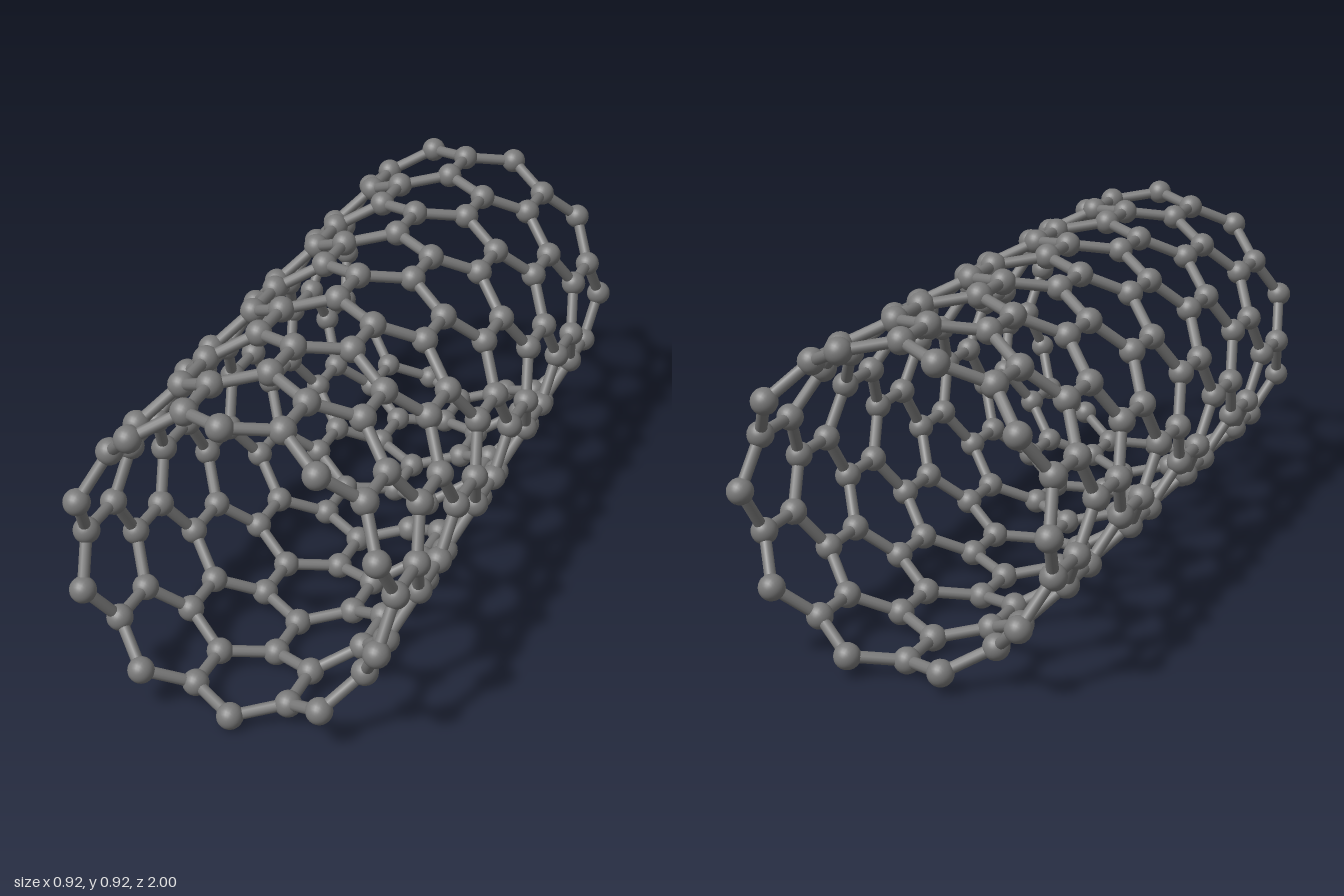
import * as THREE from 'three';

// Hexagonal lattice rolled into a tube along z
const COLUMNS = 20;
const RINGS = 9;
const BOND = 0.1542;
const RADIUS = (10 * Math.sqrt(3) * BOND) / (2 * Math.PI);
const ATOM_R = 0.036;
const BOND_R = 0.016;
const CENTRE_Y = RADIUS + ATOM_R;
const FRONT_Z = 6.25 * BOND;

// Position of the atom in a ring; even and odd columns zigzag in depth
function atomPosition(ring, column) {
  const col = (column + COLUMNS) % COLUMNS;
  const angle = (col / COLUMNS) * Math.PI * 2;
  const zig = (ring + col) % 2 === 0 ? 0 : 0.5;
  const z = FRONT_Z - (1.5 * ring + zig) * BOND;
  return new THREE.Vector3(
    RADIUS * Math.sin(angle),
    CENTRE_Y + RADIUS * Math.cos(angle),
    z
  );
}

export function createModel() {
  const model = new THREE.Group();
  model.name = 'hexagonalTube';

  const grey = new THREE.MeshStandardMaterial({ color: 0x7a7a7a });
  grey.name = 'grey';

  const atomGeometry = new THREE.SphereGeometry(ATOM_R, 20, 14);
  atomGeometry.rotateX(Math.PI / 2);
  const zigzagLength = atomPosition(0, 0).distanceTo(atomPosition(0, 1));
  const zigzagGeometry = new THREE.CylinderGeometry(BOND_R, BOND_R, zigzagLength, 12, 1, true);
  const axialGeometry = new THREE.CylinderGeometry(BOND_R, BOND_R, BOND, 12, 1, true);
  const up = new THREE.Vector3(0, 1, 0);

  function addBond(parent, name, geometry, a, b) {
    const rod = new THREE.Mesh(geometry, grey);
    rod.name = name;
    rod.position.copy(a).add(b).multiplyScalar(0.5);
    rod.quaternion.setFromUnitVectors(up, b.clone().sub(a).normalize());
    parent.add(rod);
  }

  for (let ring = 0; ring < RINGS; ring++) {
    const group = new THREE.Group();
    group.name = `ring${ring + 1}`;
    for (let col = 0; col < COLUMNS; col++) {
      const here = atomPosition(ring, col);

      // Ball at each lattice corner
      const atom = new THREE.Mesh(atomGeometry, grey);
      atom.name = 'atom';
      atom.position.copy(here);
      group.add(atom);

      // Zigzag rod to the neighbour around the ring
      addBond(group, 'zigzagBond', zigzagGeometry, here, atomPosition(ring, col + 1));

      // Straight rod to the next ring, from the rearward atoms only
      if (ring < RINGS - 1 && (ring + col) % 2 === 1) {
        addBond(group, 'axialBond', axialGeometry, here, atomPosition(ring + 1, col));
      }
    }
    model.add(group);
  }
  return model;
}
